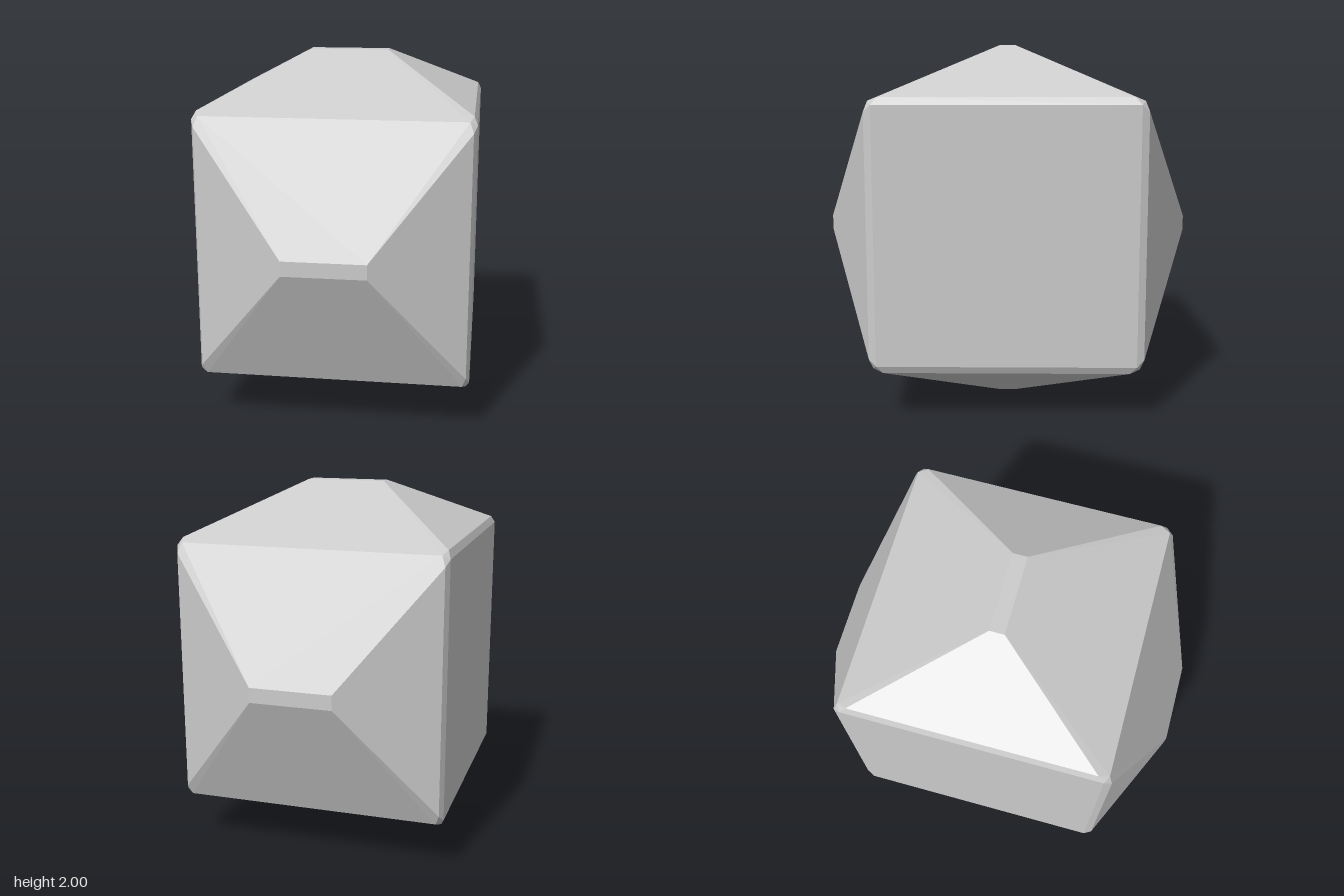
import * as THREE from 'three';
import { ConvexGeometry } from 'three/addons/geometries/ConvexGeometry.js';

export function createModel() {
  const group = new THREE.Group();
  group.name = 'hippedBlock';

  // One octant of the block, as x, y, z offsets from the centre
  const octant = [
    [0.22, 1, 0.04],        // narrow ridge of the top and bottom hips
    [0.22, 0.04, 1],        // narrow ridge of the front and back hips
    [0.72, 0.735, 0.66],    // foot of the top and bottom hips
    [0.72, 0.66, 0.735],    // foot of the front and back hips
    [0.70, 0.715, 0.715],   // blunted corner
    [0.738, 0.695, 0.695],  // flat side panel
  ];

  // Mirror the octant to all eight and wrap it in bevelled facets
  const points = [];
  for (const sx of [1, -1])
    for (const sy of [1, -1])
      for (const sz of [1, -1])
        for (const [x, y, z] of octant)
          points.push(new THREE.Vector3(sx * x, sy * y, sz * z));

  const block = new THREE.Mesh(
    new ConvexGeometry(points),
    new THREE.MeshStandardMaterial({ color: 0xcccccc, flatShading: true })
  );
  block.name = 'facetedBlock';
  block.position.y = 1;
  group.add(block);
  return group;
}
